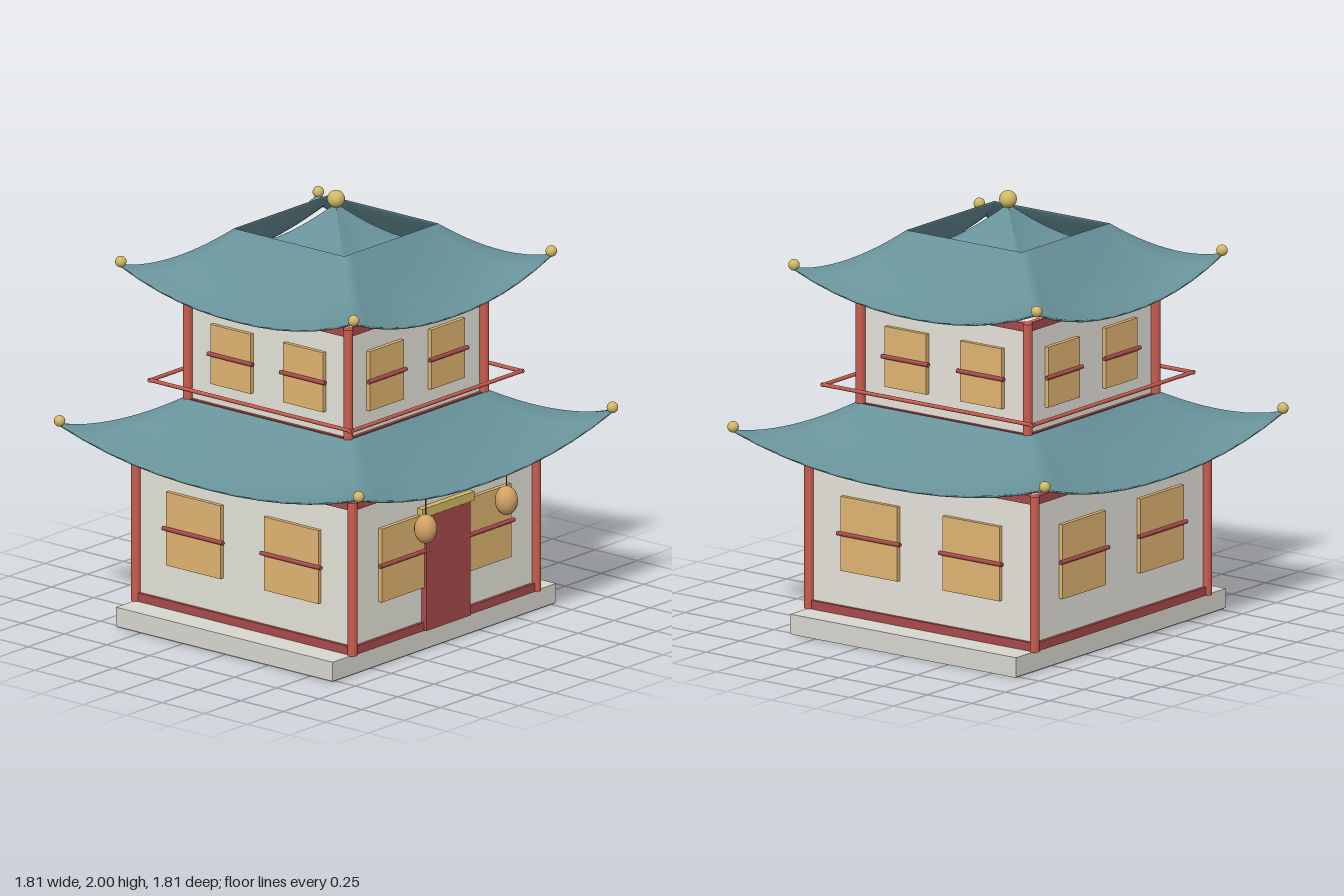
import * as THREE from 'three';

const mat = (name, color, extra = {}) => {
  const m = new THREE.MeshStandardMaterial({ color, ...extra });
  m.name = name;
  return m;
};

export function createModel() {
  const plaster = mat('plaster', 0xe5e3d9);
  const stone = mat('stone', 0xd8d7cf);
  const tile = mat('roof tile', 0x68929a, { side: THREE.DoubleSide });
  const red = mat('post red', 0xc95d50);
  const darkRed = mat('beam red', 0xa94a4a);
  const paper = mat('window paper', 0xe0b471);
  const lanternMat = mat('lantern tan', 0xd3a264);
  const gold = mat('gold', 0xd1ba65);
  const cordMat = mat('cord brown', 0x6a563c);

  const model = new THREE.Group();
  model.name = 'pagoda';

  const add = (parent, name, geo, material, x = 0, y = 0, z = 0) => {
    const mesh = new THREE.Mesh(geo, material);
    mesh.name = name;
    mesh.position.set(x, y, z);
    parent.add(mesh);
    return mesh;
  };
  const box = (parent, name, material, w, h, d, x, y, z) =>
    add(parent, name, new THREE.BoxGeometry(w, h, d), material, x, y, z);
  // Round bar lying along x
  const bar = (parent, name, material, length, radius, x, y, z) =>
    add(parent, name, new THREE.CylinderGeometry(radius, radius, length, 10).rotateZ(Math.PI / 2), material, x, y, z);
  const group = (parent, name) => {
    const g = new THREE.Group();
    g.name = name;
    parent.add(g);
    return g;
  };

  // Square ring surface swept over [t, drop] rows; t = 0 inner edge, 1 eave
  const roofSurface = (r, rows) => {
    const N = 12, count = 4 * N, pos = [], idx = [];
    const up = new THREE.Vector3(0, 1, 0);
    for (const [t, drop] of rows) {
      const half = THREE.MathUtils.lerp(r.inner, r.eave, t);
      const base = r.low + (r.high - r.low) * Math.pow(1 - t, 1.6) - drop;
      for (let i = 0; i < count; i++) {
        const s = (i % N) / N * 2 - 1;
        const y = base + r.lift * t * Math.pow(Math.abs(s), 2.2);
        const p = new THREE.Vector3(s * half, y, half);
        p.applyAxisAngle(up, Math.floor(i / N) * Math.PI / 2);
        pos.push(p.x, p.y, p.z);
      }
    }
    for (let j = 0; j < rows.length - 1; j++) {
      for (let i = 0; i < count; i++) {
        const k = (i + 1) % count;
        const a = j * count + i, b = j * count + k;
        const c = a + count, d = b + count;
        idx.push(a, c, b, c, d, b);
      }
    }
    const g = new THREE.BufferGeometry();
    g.setAttribute('position', new THREE.Float32BufferAttribute(pos, 3));
    g.setIndex(idx);
    g.computeVertexNormals();
    return g;
  };

  // Curved roof: thin slab with top, eave lip and underside, plus corner balls
  const roof = (name, r) => {
    const g = group(model, name);
    const steps = 12;
    const top = Array.from({ length: steps + 1 }, (_, i) => [i / steps, 0]);
    const under = top.map(([t]) => [1 - t, 0.01]);
    add(g, 'roofSlab', roofSurface(r, [...top, ...under, [0, 0]]), tile);
    if (!r.balls) return;
    for (const x of [-1, 1]) for (const z of [-1, 1]) {
      const e = r.eave - 0.005;
      add(g, 'cornerBall', new THREE.SphereGeometry(0.026, 16, 12), gold,
        x * e, r.low + r.lift + 0.01, z * e);
    }
  };

  // Storey: walls, corner posts, beams and two windows on each side
  const storey = (name, o) => {
    const g = group(model, name);
    const h = o.top - o.bottom, mid = (o.top + o.bottom) / 2;
    box(g, 'walls', plaster, o.half * 2, h, o.half * 2, 0, mid, 0);
    for (const x of [-1, 1]) for (const z of [-1, 1]) {
      add(g, 'cornerPost', new THREE.CylinderGeometry(0.022, 0.022, h, 16), red,
        x * o.post, mid, z * o.post);
    }
    for (let k = 0; k < 4; k++) {
      const side = group(g, 'side');
      side.rotation.y = k * Math.PI / 2;
      for (const y of [o.bottom + 0.02, o.top - 0.02]) {
        box(side, 'beam', darkRed, o.post * 2, 0.04, 0.03, 0, y, o.half);
      }
      for (const s of [-1, 1]) {
        box(side, 'window', paper, o.win.w, o.win.h, 0.03, s * o.win.x, o.win.y, o.half + 0.005);
        bar(side, 'windowBar', darkRed, o.win.bar, 0.01, s * o.win.x, o.win.y, o.half + 0.022);
      }
    }
  };

  box(model, 'plinth', stone, 1.55, 0.09, 1.275, 0, 0.05, 0);
  box(model, 'plinthFoot', stone, 1.54, 0.01, 1.265, 0, 0.005, 0);

  storey('lowerStorey', {
    half: 0.631, post: 0.637, bottom: 0.095, top: 0.815,
    win: { x: 0.288, y: 0.473, w: 0.32, h: 0.345, bar: 0.355 },
  });
  storey('upperStorey', {
    half: 0.46, post: 0.472, bottom: 1.0, top: 1.555,
    win: { x: 0.213, y: 1.277, w: 0.235, h: 0.28, bar: 0.265 },
  });

  roof('lowerRoof', { inner: 0.49, eave: 0.885, low: 0.81, high: 1.042, lift: 0.127, balls: true });
  roof('upperRoof', { inner: 0.325, eave: 0.69, low: 1.552, high: 1.832, lift: 0.127, balls: true });
  roof('roofCap', { inner: 0.004, eave: 0.318, low: 1.715, high: 1.935, lift: 0.03 });
  add(model, 'finialBall', new THREE.SphereGeometry(0.04, 24, 16), gold, 0, 1.96, 0);

  // Balcony rail around the upper storey
  const rail = group(model, 'balconyRail');
  for (let k = 0; k < 4; k++) {
    const side = group(rail, 'railSide');
    side.rotation.y = k * Math.PI / 2;
    bar(side, 'railBar', red, 1.2, 0.009, 0, 1.128, 0.591);
  }

  // Entrance
  box(model, 'door', darkRed, 0.305, 0.535, 0.04, 0, 0.365, 0.641);
  box(model, 'doorLintel', gold, 0.36, 0.042, 0.04, 0, 0.655, 0.642);

  // Hanging lanterns
  for (const s of [-1, 1]) {
    const g = group(model, 'lantern');
    g.position.set(s * 0.28, 0.63, 0.765);
    add(g, 'lanternBody', new THREE.SphereGeometry(0.052, 20, 16), lanternMat).scale.y = 1.3;
    add(g, 'lanternCord', new THREE.CylinderGeometry(0.003, 0.003, 0.14, 6), cordMat, 0, 0.125, 0);
  }

  return model;
}
